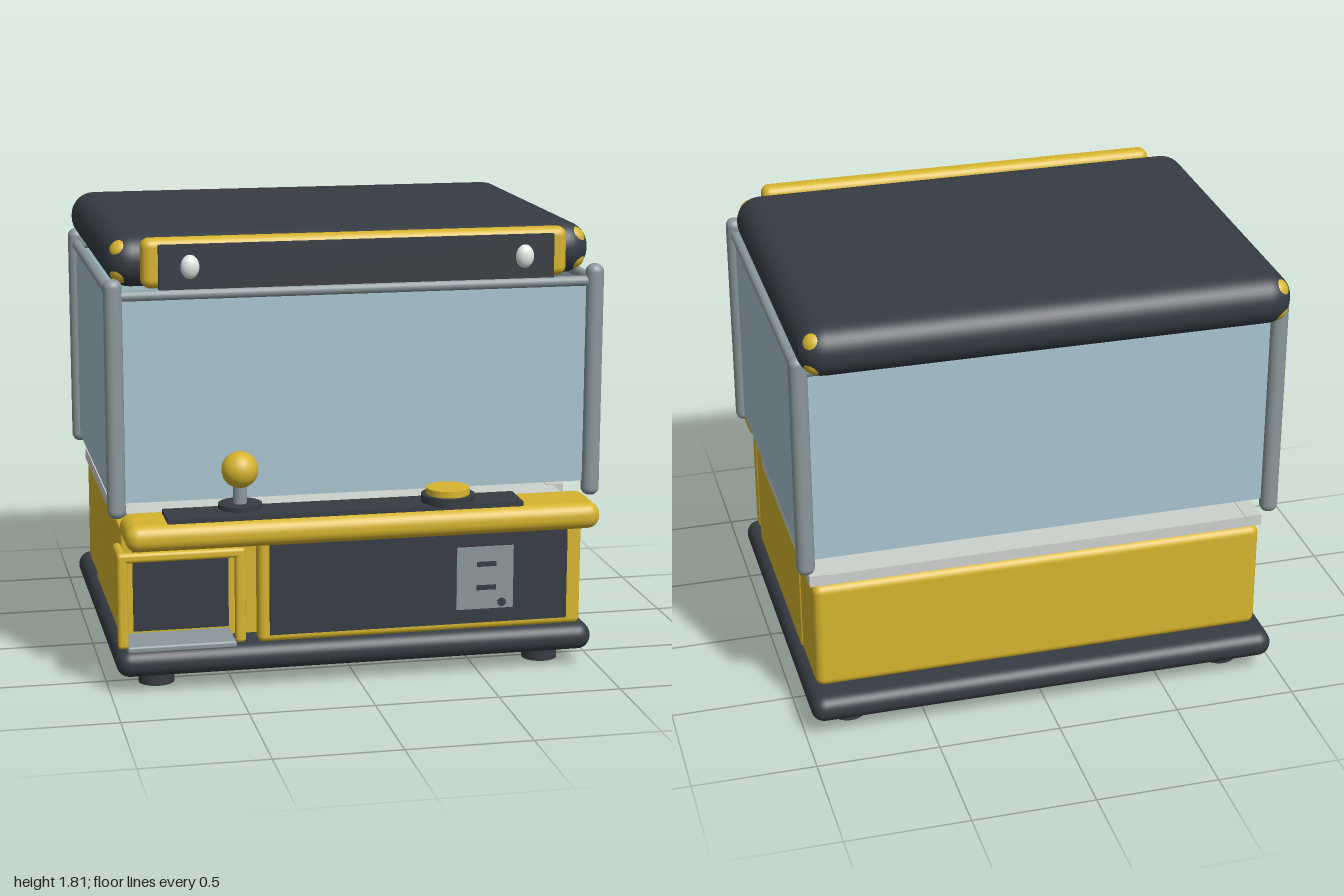
import * as THREE from 'three';
import { RoundedBoxGeometry } from 'three/addons/geometries/RoundedBoxGeometry.js';

const mat = (name, color, side = THREE.FrontSide) => {
  const m = new THREE.MeshStandardMaterial({ color, side });
  m.name = name;
  return m;
};

export function createModel() {
  const model = new THREE.Group();
  model.name = 'tabletopArcadeCabinet';
  const yellow = mat('yellow', 0xd6b42e);
  const dark = mat('charcoal', 0x363c43);
  const steel = mat('steel', 0x8c989c);
  const pale = mat('paleGrey', 0xcdd1cc);
  const white = mat('lampWhite', 0xe6e8e8);
  const glass = mat('glassBlue', 0xa8c5d0, THREE.DoubleSide);

  const add = (name, geometry, material, x = 0, y = 0, z = 0) => {
    const mesh = new THREE.Mesh(geometry, material);
    mesh.name = name;
    mesh.position.set(x, y, z);
    model.add(mesh);
    return mesh;
  };
  // Box given by its limits on each axis, optionally rounded
  const box = (name, material, [x0, x1], [y0, y1], [z0, z1], r = 0) => {
    const s = [x1 - x0, y1 - y0, z1 - z0];
    const g = r ? new RoundedBoxGeometry(...s, 5, r) : new THREE.BoxGeometry(...s);
    return add(name, g, material, (x0 + x1) / 2, (y0 + y1) / 2, (z0 + z1) / 2);
  };
  const disc = (name, material, r, y0, y1, x, z) =>
    add(name, new THREE.CylinderGeometry(r, r, y1 - y0, 32), material, x, (y0 + y1) / 2, z);
  // Horizontal round rail along x or z
  const rail = (name, material, r, length, axis, x, y, z) => {
    const m = add(name, new THREE.CylinderGeometry(r, r, length, 16), material, x, y, z);
    if (axis === 'x') m.rotation.z = Math.PI / 2;
    else m.rotation.x = Math.PI / 2;
    return m;
  };

  // Base and feet
  box('base', dark, [-0.975, 0.975], [0.067, 0.18], [-0.834, 0.709], 0.054);
  for (const x of [-0.8, 0.8])
    for (const z of [-0.65, 0.527]) disc('foot', dark, 0.073, 0, 0.08, x, z);

  // Lower body
  box('bodyFront', yellow, [-0.935, 0.935], [0.17, 0.638], [-0.397, 0.535], 0.01);
  box('bodyBack', yellow, [-0.935, 0.935], [0.17, 0.638], [-0.715, -0.4], 0.035);

  // Pale deck with side ledges
  box('deck', pale, [-0.9, 0.9], [0.636, 0.682], [-0.695, 0.61]);
  for (const s of [-1, 1])
    box('sideLedge', pale, [s * 0.91 - 0.035, s * 0.91 + 0.035], [0.637, 0.685], [-0.696, 0.345]);

  // Front coin panel
  box('frontFrame', yellow, [-0.405, 0.93], [0.175, 0.638], [0.595, 0.67], 0.025);
  box('frontPanel', dark, [-0.36, 0.865], [0.21, 0.595], [0.66, 0.684]);
  box('coinPlate', steel, [0.403, 0.638], [0.27, 0.53], [0.68, 0.69]);
  for (const y of [0.36, 0.458])
    box('coinSlot', dark, [0.485, 0.565], [y - 0.01, y + 0.01], [0.688, 0.695]);
  const lock = disc('coinLock', dark, 0.017, 0, 0.008, 0.59, 0);
  lock.rotation.x = Math.PI / 2;
  lock.position.set(0.59, 0.295, 0.692);

  // Prize recess with tray and guard hoop
  box('prizeDoor', dark, [-0.89, -0.505], [0.215, 0.548], [0.53, 0.545]);
  box('prizeTray', steel, [-0.935, -0.5], [0.178, 0.207], [0.53, 0.72], 0.01);
  for (const x of [-0.95, -0.482])
    box('guardPost', yellow, [x - 0.021, x + 0.021], [0.195, 0.585], [0.672, 0.712], 0.015);
  box('guardBar', yellow, [-0.971, -0.461], [0.545, 0.585], [0.672, 0.712], 0.015);
  rail('guardArm', yellow, 0.018, 0.16, 'z', -0.95, 0.565, 0.61);

  // Control panel
  box('controlPanel', yellow, [-0.95, 0.95], [0.623, 0.731], [0.6, 0.867], 0.05);
  box('controlPlate', dark, [-0.785, 0.635], [0.72, 0.748], [0.66, 0.83]);

  // Joystick
  disc('joystickCollar', dark, 0.04, 0.74, 0.77, -0.49, 0.755);
  disc('joystickDisc', dark, 0.086, 0.764, 0.782, -0.49, 0.755);
  disc('joystickShaft', steel, 0.027, 0.775, 0.88, -0.49, 0.755);
  add('joystickBall', new THREE.SphereGeometry(0.072, 32, 20), yellow, -0.49, 0.915, 0.755);

  // Push button
  disc('buttonBase', dark, 0.107, 0.745, 0.778, 0.345, 0.755);
  disc('buttonCap', yellow, 0.087, 0.77, 0.804, 0.345, 0.755);

  // Corner posts, top rails and glass panes
  const front = 0.654, back = -0.717, mid = (front + back) / 2, depth = front - back;
  for (const x of [-0.962, 0.962]) {
    for (const z of [front, back])
      box('cornerPost', steel, [x - 0.036, x + 0.036], [0.716, 1.663], [z - 0.036, z + 0.036], 0.033);
    rail('sideRail', steel, 0.021, depth, 'z', x, 1.595, mid);
    box('sideGlass', glass, [x - 0.005, x + 0.005], [0.75, 1.585], [back + 0.035, front - 0.035]);
  }
  for (const z of [front, back]) {
    rail('crossRail', steel, 0.021, 1.924, 'x', 0, 1.595, z);
    box('paneGlass', glass, [-0.927, 0.927], [0.777, 1.585], [z - 0.005, z + 0.005]);
  }

  // Roof with yellow corner studs showing through its rounded corners
  const r = 0.1;
  const roof = { x: 0.975, y0: 1.605, y1: 1.812, z0: -0.867, z1: 0.583 };
  box('roof', dark, [-roof.x, roof.x], [roof.y0, roof.y1], [roof.z0, roof.z1], r);
  const inset = r - 0.055 / Math.sqrt(3);
  for (const x of [-roof.x + inset, roof.x - inset])
    for (const y of [roof.y0 + inset, roof.y1 - inset])
      for (const z of [roof.z0 + inset, roof.z1 - inset])
        add('cornerStud', new THREE.SphereGeometry(0.051, 20, 14), yellow, x, y, z);

  // Marquee with two lamps
  box('marqueeFrame', yellow, [-0.848, 0.848], [1.617, 1.812], [0.572, 0.657], 0.035);
  box('marqueeFace', dark, [-0.785, 0.785], [1.617, 1.79], [0.64, 0.68]);
  for (const x of [-0.665, 0.665]) {
    const lamp = add('marqueeLamp', new THREE.SphereGeometry(1, 24, 16), white, x, 1.705, 0.68);
    lamp.scale.set(0.037, 0.047, 0.03);
  }
  return model;
}
